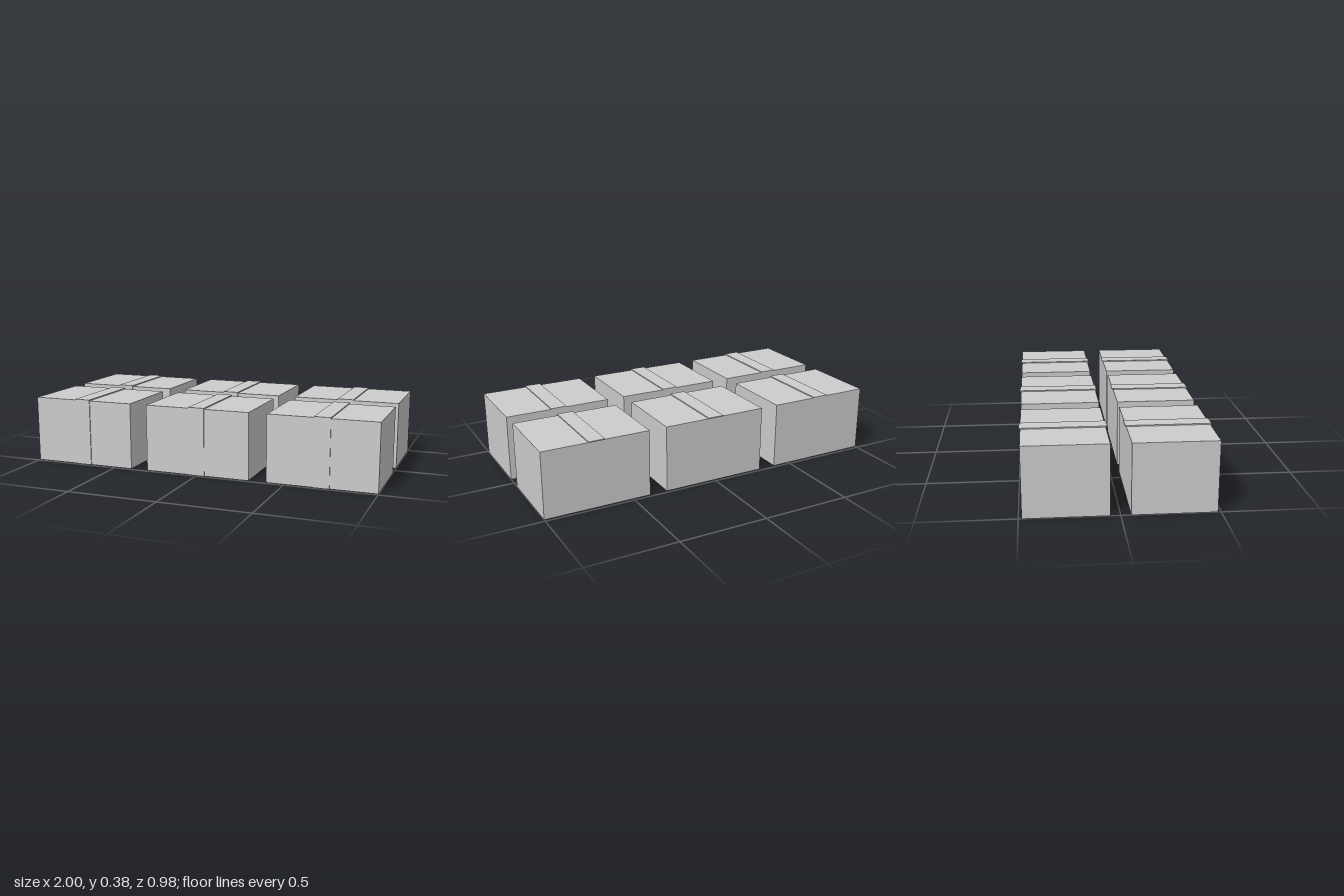
import * as THREE from 'three';

const WIDTH = 0.6, HEIGHT = 0.373, DEPTH = 0.432;
const TAPE_WIDTH = 0.09;

export function createModel() {
  const group = new THREE.Group();
  group.name = 'cartonStack';
  const grey = new THREE.MeshStandardMaterial({ color: 0xcccccc });
  grey.name = 'plain grey';

  const block = (name, w, h, d, y, z) => {
    const mesh = new THREE.Mesh(new THREE.BoxGeometry(w, h, d), grey);
    mesh.name = name;
    mesh.position.set(0, y, z);
    return mesh;
  };

  // One closed carton with tape over the lid and down the front
  const makeCarton = () => {
    const carton = new THREE.Group();
    carton.name = 'carton';
    carton.add(
      block('cartonBody', WIDTH, HEIGHT, DEPTH, HEIGHT / 2, 0),
      block('lidTape', TAPE_WIDTH, 0.006, 0.444, HEIGHT + 0.003, 0),
      block('frontTape', TAPE_WIDTH, HEIGHT, 0.005, HEIGHT / 2, DEPTH / 2 + 0.0025)
    );
    return carton;
  };

  // Two rows of three cartons
  for (const z of [-0.268, 0.268]) {
    for (const x of [-0.7, 0, 0.7]) {
      const carton = makeCarton();
      carton.position.set(x, 0, z);
      group.add(carton);
    }
  }
  return group;
}
